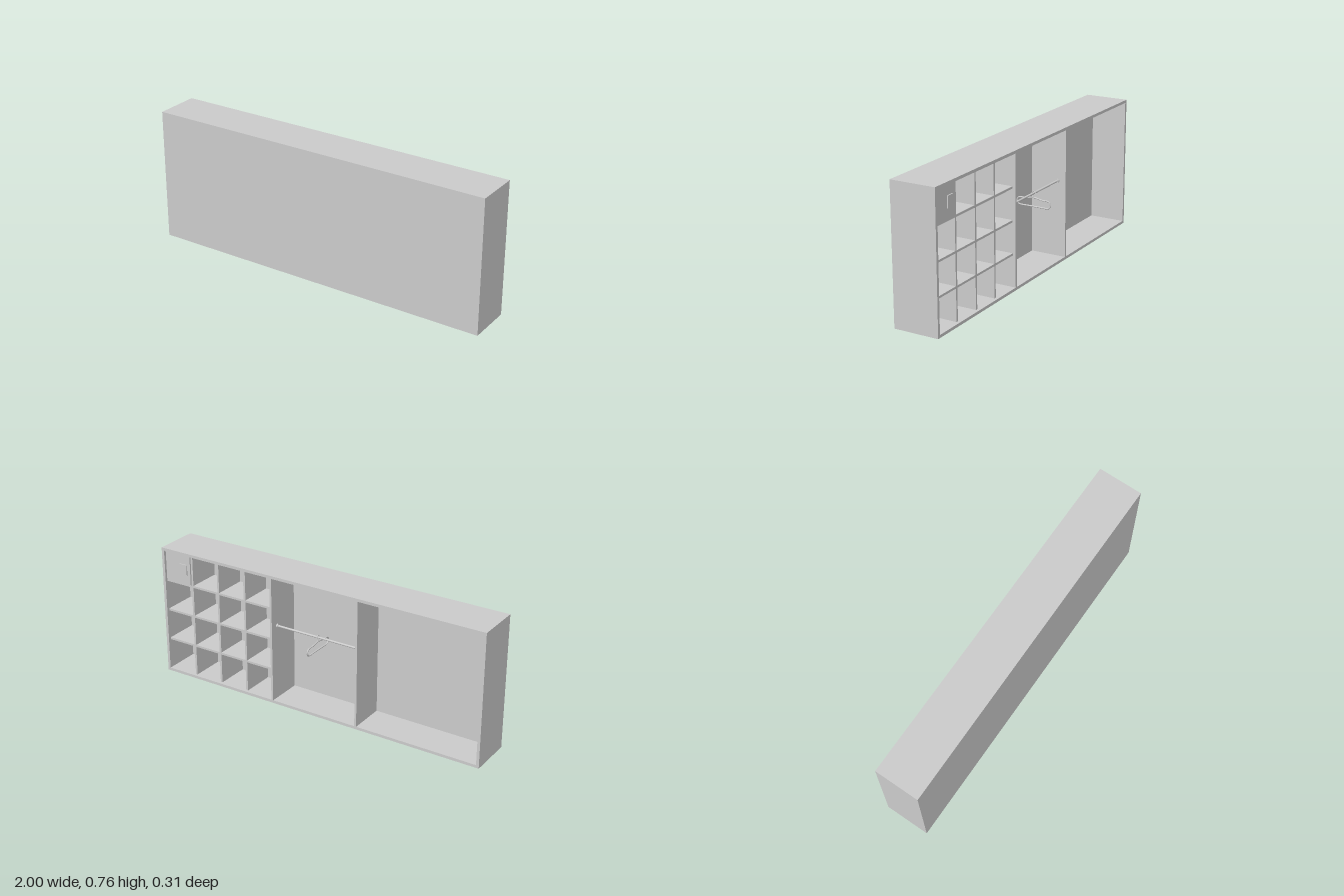
import * as THREE from 'three';

const mat = new THREE.MeshStandardMaterial({ color: 0xcccccc });

export function createModel() {
  const model = new THREE.Group();
  model.name = 'wardrobe';

  const add = (name, geo, x = 0, y = 0, z = 0, parent = model) => {
    const m = new THREE.Mesh(geo, mat);
    m.name = name;
    m.position.set(x, y, z);
    parent.add(m);
    return m;
  };
  // box given by its limits on each axis
  const box = (name, [x0, x1], [y0, y1], [z0, z1], parent) =>
    add(name, new THREE.BoxGeometry(x1 - x0, y1 - y0, z1 - z0),
      (x0 + x1) / 2, (y0 + y1) / 2, (z0 + z1) / 2, parent);

  const H = 0.757, T = 0.016, T2 = 0.012;
  const zOpen = -0.1, zInner = 0.11, zFront = 0.155;
  const inX = 1 - T, cubbyX = 0.264;

  // outer case, open towards -z
  box('closedPanel', [-1, 1], [0, H], [zInner, zFront]);
  box('bottomPanel', [-1, 1], [0, T], [zOpen, zInner]);
  box('topPanel', [-1, 1], [H - T, H], [zOpen, zInner]);
  for (const s of [-1, 1]) {
    add('sidePanel', new THREE.BoxGeometry(T, H - 2 * T, zInner - zOpen),
      s * (1 - T / 2), H / 2, (zOpen + zInner) / 2);
    add('mainDivider', new THREE.BoxGeometry(T2, H - 2 * T, zInner - zOpen),
      s * (cubbyX + T2 / 2 - 0.002), H / 2, (zOpen + zInner) / 2);
  }

  // four by four grid of cubbies
  const cubbies = new THREE.Group();
  cubbies.name = 'cubbies';
  model.add(cubbies);
  const x0 = cubbyX + T2 - 0.002, cw = (inX - x0) / 4, ch = (H - 2 * T) / 4;
  const zCubby = zOpen + 0.017;
  for (let i = 1; i < 4; i++) {
    const x = x0 + i * cw, y = T + i * ch;
    box('cubbyDivider', [x - T2 / 2, x + T2 / 2], [T, H - T], [zCubby, zInner], cubbies);
    box('cubbyShelf', [x0, inX], [y - T2 / 2, y + T2 / 2], [zCubby, zInner], cubbies);
  }

  // small door with a thin pull plate
  const door = new THREE.Group();
  door.name = 'cubbyDoor';
  model.add(door);
  const dx = inX - cw + 0.009, dy = H - T - ch + 0.003;
  box('doorPanel', [dx, inX - 0.002], [dy, H - T - 0.002], [-0.088, -0.076], door);
  const py = (dy + H - T) / 2;
  box('doorPull', [dx + 0.02, dx + 0.068], [py - 0.032, py + 0.032], [-0.094, -0.088], door);

  // hanging rail with end flanges
  const railY = 0.45, railZ = -0.05;
  add('rail', new THREE.CylinderGeometry(0.006, 0.006, 2 * cubbyX, 20), 0, railY, railZ)
    .rotation.z = Math.PI / 2;
  for (const s of [-1, 1]) {
    add('railFlange', new THREE.CylinderGeometry(0.011, 0.011, 0.01, 20),
      s * (cubbyX - 0.007), railY, railZ).rotation.z = Math.PI / 2;
  }

  // hanger: rounded loop in the z-y plane plus a hook over the rail
  const hanger = new THREE.Group();
  hanger.name = 'hanger';
  hanger.position.set(0, railY, railZ);
  model.add(hanger);
  const half = [[0.03, -0.029], [0.055, -0.033], [0.078, -0.033]];
  for (let i = 1; i <= 6; i++) {
    const a = Math.PI / 2 - (i / 6) * Math.PI;
    half.push([0.08 + 0.0215 * Math.cos(a), -0.0535 + 0.0205 * Math.sin(a)]);
  }
  half.push([0.04, -0.074]);
  const pts = [
    [0, -0.024], ...half, [0, -0.074],
    ...half.slice().reverse().map(([z, y]) => [-z, y]),
  ].map(([z, y]) => new THREE.Vector3(0, y, z));
  add('hangerLoop', new THREE.TubeGeometry(
    new THREE.CatmullRomCurve3(pts, true), 120, 0.004, 10, true), 0, 0, 0, hanger);

  const hook = [[0, -0.025], [0.004, -0.016]];
  for (let i = 0; i <= 6; i++) {
    const a = -0.7 + (i / 6) * (Math.PI + 0.7);
    hook.push([0.01 * Math.cos(a), 0.01 * Math.sin(a)]);
  }
  add('hangerHook', new THREE.TubeGeometry(
    new THREE.CatmullRomCurve3(hook.map(([z, y]) => new THREE.Vector3(0, y, z))),
    40, 0.003, 10), 0, 0, 0, hanger);

  return model;
}
